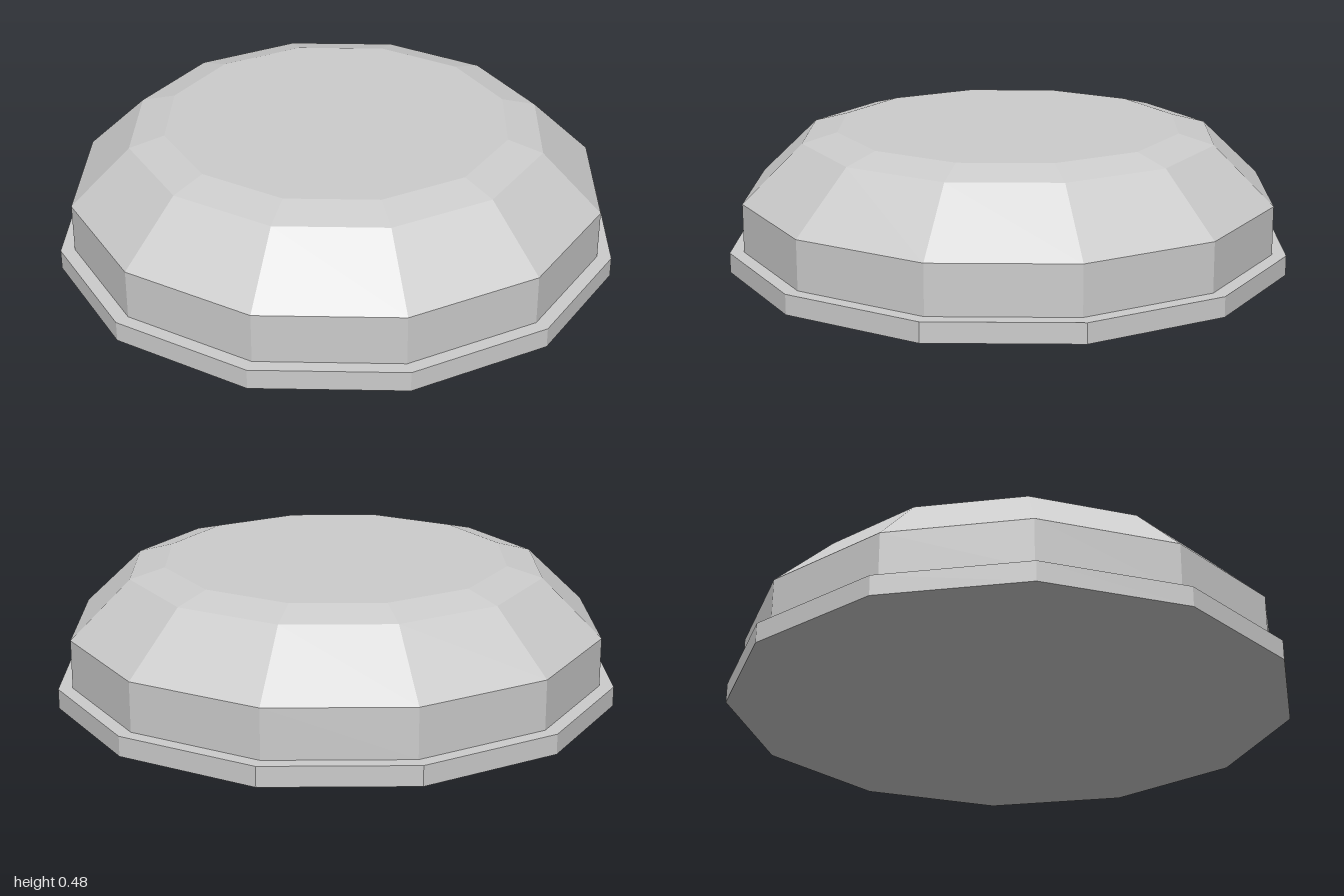
import * as THREE from 'three';

const SIDES = 12;

export function createModel() {
  const model = new THREE.Group();
  model.name = 'lowDome';
  const material = new THREE.MeshStandardMaterial({ color: 0xcccccc, flatShading: true });

  // Twelve-sided turned part from a bottom-to-top [radius, height] profile
  function addTurned(name, profile) {
    const points = profile.map(([r, y]) => new THREE.Vector2(r, y));
    const mesh = new THREE.Mesh(new THREE.LatheGeometry(points, SIDES), material);
    mesh.name = name;
    model.add(mesh);
  }

  // Thin base flange with closed underside and a narrow exposed ledge
  addTurned('baseFlange', [[0, 0], [1, 0], [1, 0.07], [0.95, 0.07]]);

  // Upright wall, sloped shoulder, shallow bevel and flat top
  addTurned('domeBody', [[0.95, 0.07], [0.95, 0.243], [0.737, 0.446], [0.613, 0.48], [0, 0.48]]);

  return model;
}
